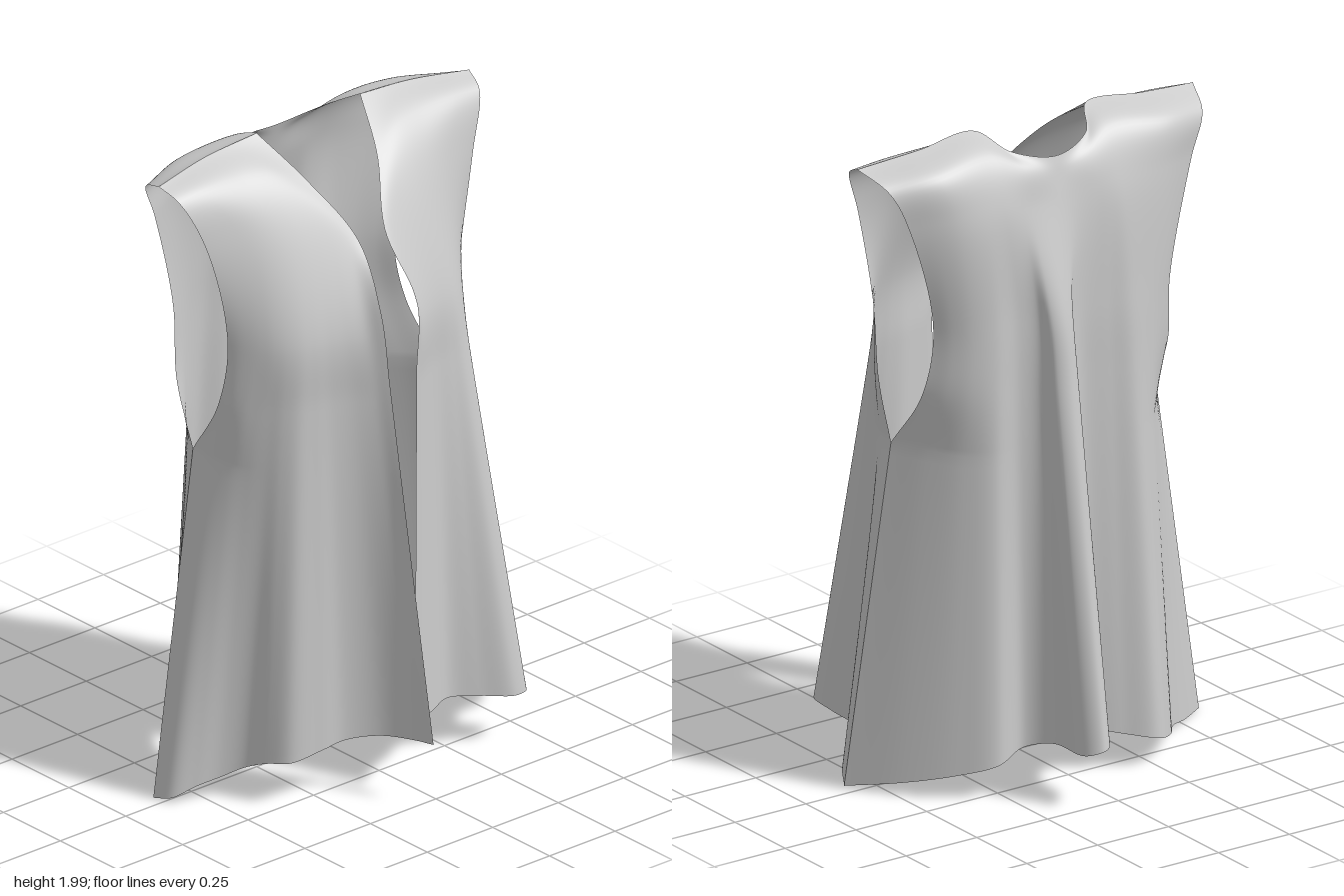
import * as THREE from 'three';

const V = (p) => new THREE.Vector3(...p);
const points = (rows) => rows.map(V);
const spline = (pts) => new THREE.CatmullRomCurve3(pts);
// The yoke is symmetric about a line slightly left of centre.
const mirror = (pts) => pts.map((p) => new THREE.Vector3(0.015 - p.x, p.y, p.z));
// Centre-to-side half row -> full row, right side to left side
const fullRow = (half) => [...mirror(half).reverse(), ...half.slice(1)];

// Row between hem and chest
const between = (a, b, t) => a.map((p, i) => p.clone().lerp(b[i], t));

// Pull the last point of a row to a target, dragging its neighbours along
function pinEnd(row, target) {
  const end = row.length - 1;
  const shift = V(target).sub(row[end]);
  [1, 0.65, 0.3, 0.08].forEach((w, i) => row[end - i].addScaledVector(shift, w));
  return row;
}
const pinBoth = (row, right, left) => pinEnd(pinEnd(row, left).reverse(), right).reverse();

// Cloth sheet: straight from hem to armhole base, splined above it
function clothPanel(name, hem, upperRows, cols, flip) {
  const LOW = 28, HIGH = 48;
  const hemCurve = spline(hem), curves = upperRows.map(spline);
  const pos = [], index = [], stride = LOW + HIGH + 1;
  for (let i = 0; i <= cols; i++) {
    const u = i / cols;
    const foot = hemCurve.getPoint(u);
    const rise = spline(curves.map((c) => c.getPoint(u)));
    const base = rise.getPoint(0);
    for (let j = 0; j < stride; j++) {
      const p = j < LOW ? foot.clone().lerp(base, j / LOW) : rise.getPoint((j - LOW) / HIGH);
      pos.push(p.x, p.y, p.z);
      if (i === cols || j === stride - 1) continue;
      const a = i * stride + j, b = a + stride;
      if (flip) index.push(a, a + 1, b, b, a + 1, b + 1);
      else index.push(a, b, a + 1, b, b + 1, a + 1);
    }
  }
  const geo = new THREE.BufferGeometry();
  geo.setAttribute('position', new THREE.Float32BufferAttribute(pos, 3));
  geo.setIndex(index);
  geo.computeVertexNormals();
  const mesh = new THREE.Mesh(geo,
    new THREE.MeshStandardMaterial({ color: 0xcccccc, side: THREE.DoubleSide, roughness: 0.9 }));
  mesh.name = name;
  return mesh;
}

export function createModel() {
  const vest = new THREE.Group();
  vest.name = 'vest';

  // Lowest armhole points, where front and back panels meet
  const armBase = { left: [0.467, 1.07, -0.025], right: [-0.45, 1.07, -0.05] };

  // Back panel: hem with a deep narrow pleat, chest, yoke, shoulder slope, neck and ridge
  const backHem = [
    [-0.61, -0.04], [-0.52, -0.1], [-0.42, -0.18], [-0.34, -0.28], [-0.25, -0.345], [-0.15, -0.305],
    [-0.05, -0.27], [0.01, -0.33], [0.03, -0.5], [0.072, -0.535], [0.115, -0.5], [0.112, -0.33],
    [0.17, -0.265], [0.27, -0.285], [0.37, -0.22], [0.48, -0.11], [0.59, 0.035],
  ].map(([x, z]) => new THREE.Vector3(
    x, Math.max(0.005, 0.17 - 0.285 * Math.abs(x - 0.04)) + 0.1 * Math.max(0, -0.3 - z), z));
  const backChest = [
    [-0.395, -0.2], [-0.365, -0.222], [-0.32, -0.245], [-0.265, -0.265], [-0.2, -0.277], [-0.13, -0.265],
    [-0.04, -0.258], [0.01, -0.28], [0.033, -0.32], [0.07, -0.333], [0.107, -0.32], [0.128, -0.28],
    [0.18, -0.258], [0.26, -0.257], [0.325, -0.235], [0.375, -0.2], [0.413, -0.16],
  ].map(([x, z]) => new THREE.Vector3(x, 1.45, z));
  const ridge = points([[0.205, 1.99, -0.07], [0.4, 1.975, -0.07], [0.6, 1.952, -0.045]]);
  const backYoke = fullRow(points([
    [0.0075, 1.78, -0.238], [0.12, 1.78, -0.24], [0.215, 1.79, -0.24], [0.37, 1.79, -0.225], [0.505, 1.78, -0.172]]));
  const backSlope = fullRow(points([
    [0.0075, 1.87, -0.213], [0.11, 1.89, -0.21], [0.215, 1.94, -0.178], [0.41, 1.925, -0.188], [0.56, 1.9, -0.15]]));
  const backTop = fullRow([...points([[0.0075, 1.91, -0.2], [0.14, 1.94, -0.16]]), ...ridge]);
  vest.add(clothPanel('backPanel', backHem, [
    pinBoth(between(backHem, backChest, 0.7), armBase.right, armBase.left),
    pinBoth(between(backHem, backChest, 0.84), [-0.417, 1.24, -0.16], [0.432, 1.24, -0.13]),
    backChest, backYoke, backSlope, backTop,
  ], 128, true));

  // Front panels run from the open centre edge to the side seam
  const frontChest = [
    [0.075, 0.33], [0.11, 0.306], [0.16, 0.28], [0.21, 0.262], [0.26, 0.248], [0.3, 0.234],
    [0.335, 0.214], [0.365, 0.19], [0.39, 0.164], [0.412, 0.138], [0.432, 0.112], [0.45, 0.085],
  ].map(([x, z], i) => new THREE.Vector3(x, i ? 1.45 : 1.51, z));
  const frontYoke = points([
    [0.058, 1.7, 0.21], [0.15, 1.75, 0.168], [0.25, 1.77, 0.142], [0.34, 1.78, 0.117],
    [0.43, 1.78, 0.09], [0.515, 1.76, 0.07]]);
  const frontSlope = points([
    [0.14, 1.87, 0.08], [0.24, 1.91, 0.05], [0.36, 1.925, 0.03], [0.48, 1.925, 0.025], [0.58, 1.915, 0.025]]);

  const leftHem = points([
    [-0.01, 0.2, 0.42], [0.06, 0.195, 0.375], [0.14, 0.185, 0.33], [0.23, 0.18, 0.29],
    [0.32, 0.17, 0.325], [0.41, 0.16, 0.375], [0.468, 0.155, 0.36], [0.45, 0.13, 0.29],
    [0.42, 0.1, 0.22], [0.45, 0.07, 0.16], [0.53, 0.04, 0.125], [0.59, 0.01, 0.035]]);
  const rightHem = points([
    [-0.035, 0.2, 0.53], [-0.045, 0.19, 0.45], [-0.09, 0.185, 0.36], [-0.17, 0.175, 0.3],
    [-0.25, 0.16, 0.285], [-0.345, 0.14, 0.26], [-0.385, 0.13, 0.2], [-0.41, 0.1, 0.13],
    [-0.46, 0.07, 0.085], [-0.53, 0.05, 0.055], [-0.59, 0.02, 0.02], [-0.61, 0.01, -0.04]]);

  for (const side of ['left', 'right']) {
    const left = side === 'left';
    const hem = left ? leftHem : rightHem;
    const place = (row) => (left ? row : mirror(row));
    const chest = place(frontChest);
    // Close the hem onto the back panel at the side seam
    hem[hem.length - 1].copy(backHem[left ? backHem.length - 1 : 0]);
    vest.add(clothPanel(side + 'FrontPanel', hem, [
      pinEnd(between(hem, chest, 0.7), armBase[side]),
      pinEnd(between(hem, chest, 0.84), [left ? 0.457 : -0.442, 1.24, 0.05]),
      chest, place(frontYoke), place(frontSlope), place(ridge),
    ], 72, !left));
  }
  return vest;
}
